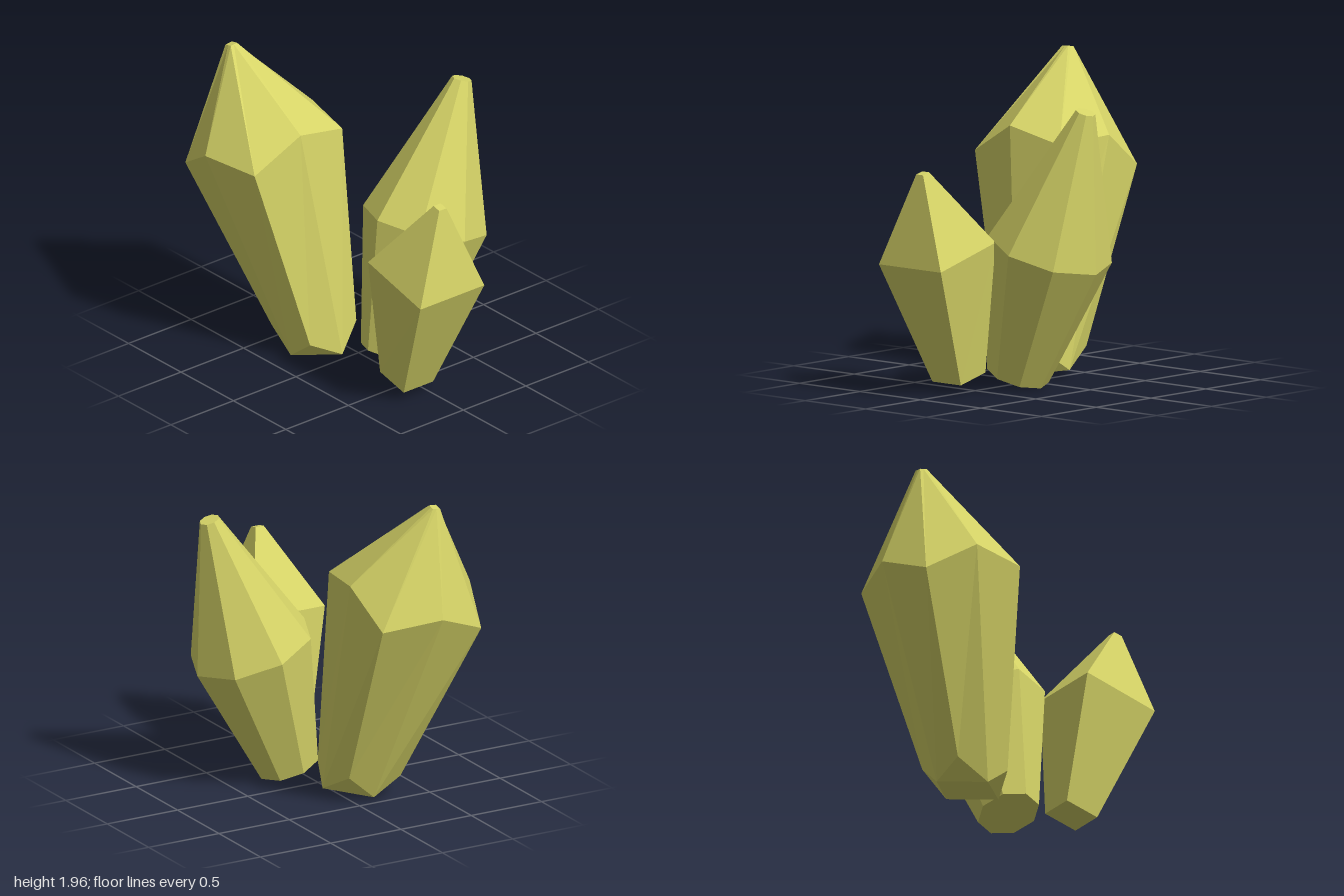
import * as THREE from 'three';

// Skin a stack of rings (bottom to top, each running front -> +x -> back) and cap both ends.
function loft(rings) {
  const pos = [];
  const tri = (a, b, c) => pos.push(...a, ...b, ...c);
  const n = rings[0].length;
  for (let r = 0; r < rings.length - 1; r++) {
    const lo = rings[r], hi = rings[r + 1];
    for (let i = 0; i < n; i++) {
      const j = (i + 1) % n;
      tri(lo[i], lo[j], hi[j]);
      tri(lo[i], hi[j], hi[i]);
    }
  }
  // Caps: cut off the odd corners, then fan the even ones (keeps the chipped base faceted)
  const cap = (ring, up) => {
    const face = (a, b, c) => (up ? tri(a, b, c) : tri(c, b, a));
    for (let i = 0; i < n; i += 2) face(ring[i], ring[i + 1], ring[(i + 2) % n]);
    for (let i = 2; i + 2 < n; i += 2) face(ring[0], ring[i], ring[i + 2]);
  };
  cap(rings[0], false);
  cap(rings[rings.length - 1], true);
  const geo = new THREE.BufferGeometry();
  geo.setAttribute('position', new THREE.Float32BufferAttribute(pos, 3));
  geo.computeVertexNormals();
  return geo;
}

// Octagon ring whose height falls towards +x
function octagon(cx, cy, cz, radius, slope) {
  return Array.from({ length: 8 }, (_, i) => {
    const a = (i * Math.PI) / 4;
    const dx = Math.sin(a) * radius;
    return [cx + dx, cy - slope * dx, cz + Math.cos(a) * radius];
  });
}

// Four-cornered ring with separate front and back heights
function quad(x0, x1, zFront, yFront, zBack, yBack) {
  return [[x0, yFront, zFront], [x1, yFront, zFront], [x1, yBack, zBack], [x0, yBack, zBack]];
}

// Small square tip given as eight points (corners and edge middles)
function squareTip(cx, cy, cz, h) {
  return octagon(0, 0, 0, 1, 0).map(([x, , z]) => {
    const dx = Math.round(x) * h, dz = Math.round(z) * h;
    return [cx + dx, cy + 0.1 * dx + 0.2 * dz, cz + dz];
  });
}

export function createModel() {
  const group = new THREE.Group();
  const crystal = new THREE.MeshStandardMaterial({ color: 0xd6d467, flatShading: true });
  crystal.name = 'crystalYellow';

  const add = (name, rings) => {
    const mesh = new THREE.Mesh(loft(rings), crystal);
    mesh.name = name;
    group.add(mesh);
  };

  // Tall rear crystal with a chipped base, leaning back
  add('rearCrystal', [
    [[-0.12, 0.03, -0.01], [0.05, 0.18, -0.08], [0.11, 0.06, -0.24], [0.05, 0.18, -0.46],
      [-0.12, 0.03, -0.47], [-0.32, 0.13, -0.45], [-0.34, 0.005, -0.24], [-0.32, 0.13, -0.08]],
    [[-0.32, 1.54, -0.17], [0.05, 1.45, -0.215], [0.12, 1.48, -0.59], [0.07, 1.26, -0.9],
      [-0.3, 1.31, -1.0], [-0.63, 1.17, -0.9], [-0.73, 1.37, -0.59], [-0.65, 1.35, -0.215]],
    squareTip(-0.378, 1.96, -0.763, 0.025),
  ]);

  // Eight-sided crystal leaning sideways
  add('sideCrystal', [
    octagon(0.09, 0.075, 0.21, 0.19, 0.32),
    octagon(0.355, 0.885, 0.21, 0.38, 0.32),
    octagon(0.65, 1.765, 0.21, 0.06, 0.32),
  ]);

  // Short four-sided crystal leaning forward
  add('frontCrystal', [
    quad(-0.2, 0.035, 0.67, 0.06, 0.445, 0.115),
    quad(-0.343, 0.168, 1.0, 0.81, 0.5, 0.94),
    quad(-0.117, -0.06, 0.91, 1.38, 0.855, 1.393),
  ]);

  return group;
}
